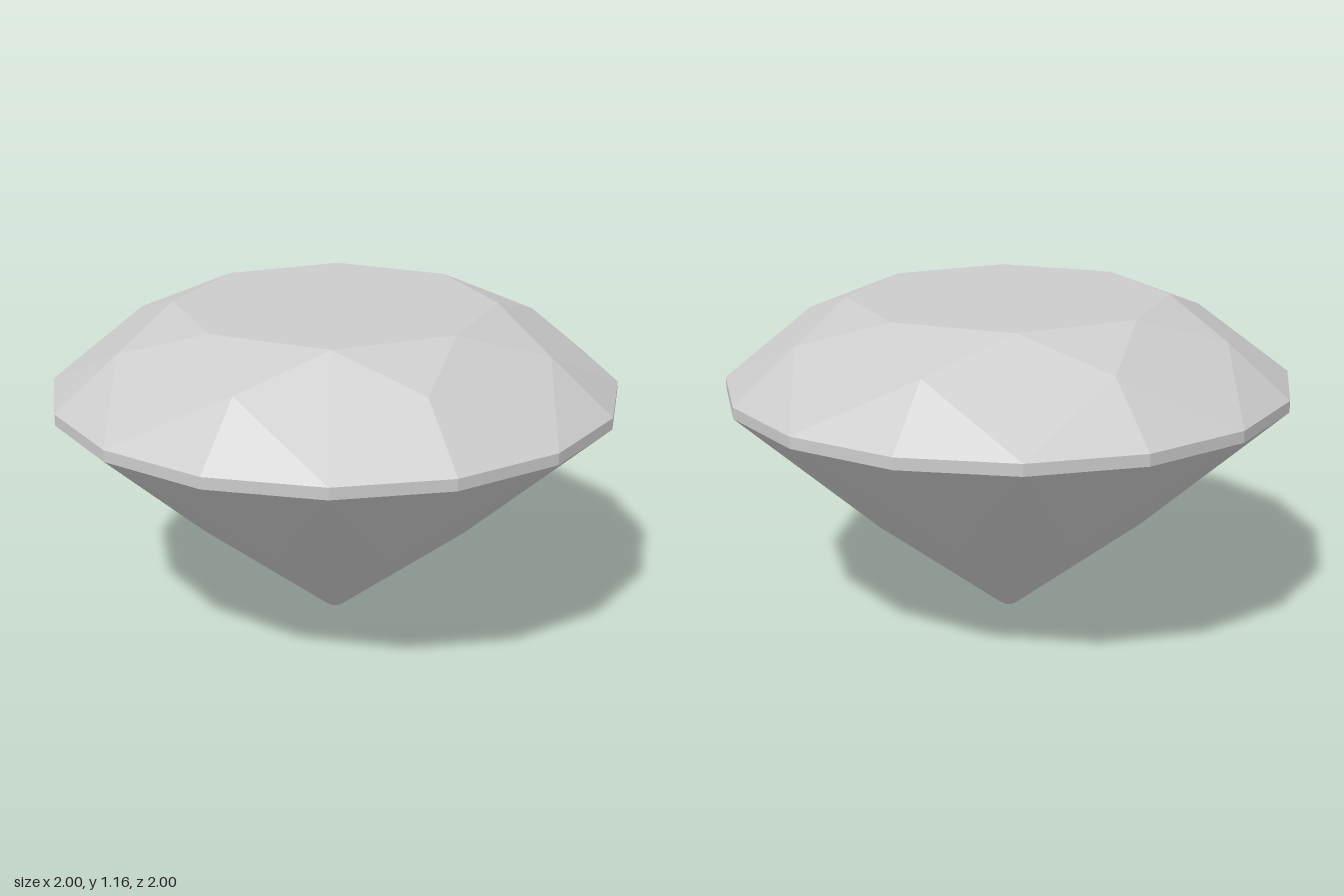
import * as THREE from 'three';

const GIRDLE_TOP = 0.88, GIRDLE_BOTTOM = 0.84;

// Point on a ring; step counts sixteenths of a turn from the front towards +x
function point(radius, y, step) {
  const a = step * Math.PI / 8;
  return [radius * Math.sin(a), y, radius * Math.cos(a)];
}

// Flat facets from convex polygons, corners counter-clockwise seen from outside
function facetMesh(name, polygons) {
  const positions = [];
  for (const p of polygons) {
    for (let i = 1; i < p.length - 1; i++) positions.push(...p[0], ...p[i], ...p[i + 1]);
  }
  const geometry = new THREE.BufferGeometry();
  geometry.setAttribute('position', new THREE.Float32BufferAttribute(positions, 3));
  geometry.computeVertexNormals();
  const mesh = new THREE.Mesh(geometry, new THREE.MeshStandardMaterial({ color: 0xcccccc, flatShading: true }));
  mesh.name = name;
  return mesh;
}

export function createModel() {
  const table = s => point(0.565, 1.165, s);
  const crownMid = s => point(0.78, 1.063, s);
  const girdleTop = s => point(1, GIRDLE_TOP, s);
  const girdleBottom = s => point(1, GIRDLE_BOTTOM, s);
  const pavilionMid = s => point(0.5, 0.376, s);
  const culet = s => point(0.03, 0, s);

  const tableTop = [], stars = [], kites = [], upperGirdle = [];
  const girdle = [], lowerGirdle = [], mains = [], culetFace = [];

  // Eight-fold symmetry: even steps carry the main facets, odd steps the points between
  for (let s = 0; s < 16; s += 2) {
    tableTop.push(table(s));
    stars.push([table(s), crownMid(s + 1), table(s + 2)]);
    kites.push([girdleTop(s), crownMid(s + 1), table(s), crownMid(s - 1)]);
    mains.push([girdleBottom(s), pavilionMid(s - 1), culet(s - 1), culet(s + 1), pavilionMid(s + 1)]);
    culetFace.unshift(culet(s + 1));
    for (const t of [s, s + 1]) {
      upperGirdle.push([girdleTop(t), girdleTop(t + 1), crownMid(s + 1)]);
      girdle.push([girdleBottom(t), girdleBottom(t + 1), girdleTop(t + 1), girdleTop(t)]);
      lowerGirdle.push([girdleBottom(t + 1), girdleBottom(t), pavilionMid(s + 1)]);
    }
  }

  const gem = new THREE.Group();
  gem.name = 'brilliantCutGem';

  // Crown above the girdle
  const crown = new THREE.Group();
  crown.name = 'crown';
  crown.add(
    facetMesh('table', [tableTop]),
    facetMesh('starFacets', stars),
    facetMesh('kiteFacets', kites),
    facetMesh('upperGirdleFacets', upperGirdle)
  );

  // Pavilion tapering to the small flat culet
  const pavilion = new THREE.Group();
  pavilion.name = 'pavilion';
  pavilion.add(
    facetMesh('lowerGirdleFacets', lowerGirdle),
    facetMesh('mainFacets', mains),
    facetMesh('culet', [culetFace])
  );

  gem.add(crown, facetMesh('girdle', girdle), pavilion);
  return gem;
}
